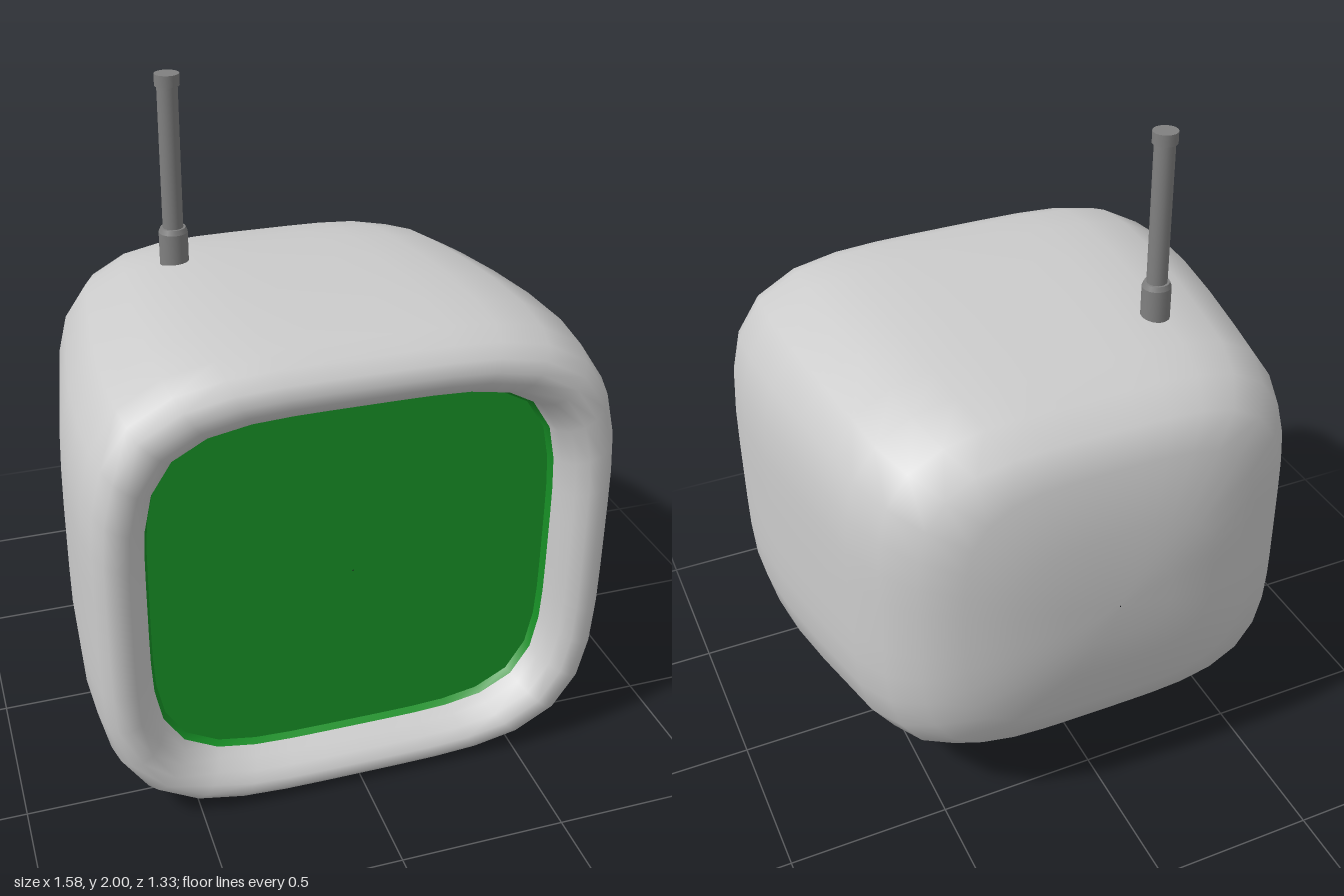
import * as THREE from 'three';

const SEGMENTS = 40;

const grey = new THREE.MeshStandardMaterial({ color: 0xcccccc });
const darkGrey = new THREE.MeshStandardMaterial({ color: 0x808080 });
const green = new THREE.MeshStandardMaterial({ color: 0x179026 });

// Skins a row of rounded-square rings: [z, half width, bottom y, top y, squareness]
function loft(rings) {
  const positions = [];
  const index = [];
  rings.forEach(([z, halfWidth, bottom, top, n], i) => {
    const halfHeight = (top - bottom) / 2;
    const middle = (top + bottom) / 2;
    for (let j = 0; j < SEGMENTS; j++) {
      const angle = (j / SEGMENTS) * Math.PI * 2;
      const c = Math.cos(angle);
      const s = Math.sin(angle);
      const r = (Math.abs(c) ** n + Math.abs(s) ** n) ** (-1 / n);
      positions.push(c * r * halfWidth, middle + s * r * halfHeight, z);
      if (i === 0) continue;
      const next = (j + 1) % SEGMENTS;
      const a = (i - 1) * SEGMENTS + j;
      const b = (i - 1) * SEGMENTS + next;
      index.push(a, b, b + SEGMENTS, a, b + SEGMENTS, a + SEGMENTS);
    }
  });
  const geometry = new THREE.BufferGeometry();
  geometry.setAttribute('position', new THREE.Float32BufferAttribute(positions, 3));
  geometry.setIndex(index);
  geometry.computeVertexNormals();
  return geometry;
}

function addMesh(parent, name, geometry, material) {
  const mesh = new THREE.Mesh(geometry, material);
  mesh.name = name;
  parent.add(mesh);
  return mesh;
}

export function createModel() {
  const model = new THREE.Group();
  model.name = 'retroTelevision';

  // Casing: domed back, tapering body, then the rim rolling into the screen recess
  addMesh(model, 'casing', loft([
    [-0.665, 0.002, 0.798, 0.802, 3],
    [-0.664, 0.17, 0.68, 0.92, 3],
    [-0.652, 0.31, 0.56, 1.05, 3.4],
    [-0.62, 0.46, 0.4, 1.25, 3.8],
    [-0.56, 0.575, 0.285, 1.335, 4],
    [-0.46, 0.65, 0.205, 1.385, 4.1],
    [-0.33, 0.7, 0.162, 1.412, 4.2],
    [-0.2, 0.72, 0.13, 1.43, 4.2],
    [0, 0.752, 0.085, 1.447, 4.2],
    [0.2, 0.779, 0.048, 1.456, 4.2],
    [0.4, 0.79, 0.016, 1.457, 4.2],
    [0.54, 0.783, 0.003, 1.443, 4.2],
    [0.61, 0.767, 0.009, 1.42, 4.2],
    [0.648, 0.742, 0.024, 1.388, 4.2],
    [0.663, 0.71, 0.045, 1.355, 4.2],
    [0.657, 0.675, 0.073, 1.322, 4.3],
    [0.632, 0.643, 0.1, 1.29, 4.4],
    [0.59, 0.621, 0.12, 1.266, 4.5],
    [0.545, 0.612, 0.129, 1.256, 4.5],
  ]), grey);

  // Screen: a shallow lip around a flat pane
  const screen = new THREE.Group();
  screen.name = 'screen';
  model.add(screen);
  addMesh(screen, 'screenLip', loft([
    [0.55, 0.613, 0.128, 1.257, 4.5],
    [0.53, 0.603, 0.138, 1.247, 4.5],
  ]), green);
  addMesh(screen, 'screenPane', loft([
    [0.53, 0.603, 0.138, 1.247, 4.5],
    [0.53, 0.002, 0.69, 0.694, 4.5],
  ]), green);

  // Antenna: chamfered socket, rod and tip
  const antenna = new THREE.Group();
  antenna.name = 'antenna';
  antenna.position.set(-0.34, 0, -0.18);
  model.add(antenna);
  const addSection = (name, radiusTop, radiusBottom, from, to) => {
    const geometry = new THREE.CylinderGeometry(radiusTop, radiusBottom, to - from, 20);
    addMesh(antenna, name, geometry, darkGrey).position.y = (from + to) / 2;
  };
  addSection('antennaSocket', 0.044, 0.044, 1.4, 1.52);
  addSection('antennaSocketChamfer', 0.038, 0.044, 1.52, 1.535);
  addSection('antennaRod', 0.031, 0.031, 1.5, 1.97);
  addSection('antennaTip', 0.037, 0.037, 1.965, 2);

  return model;
}
